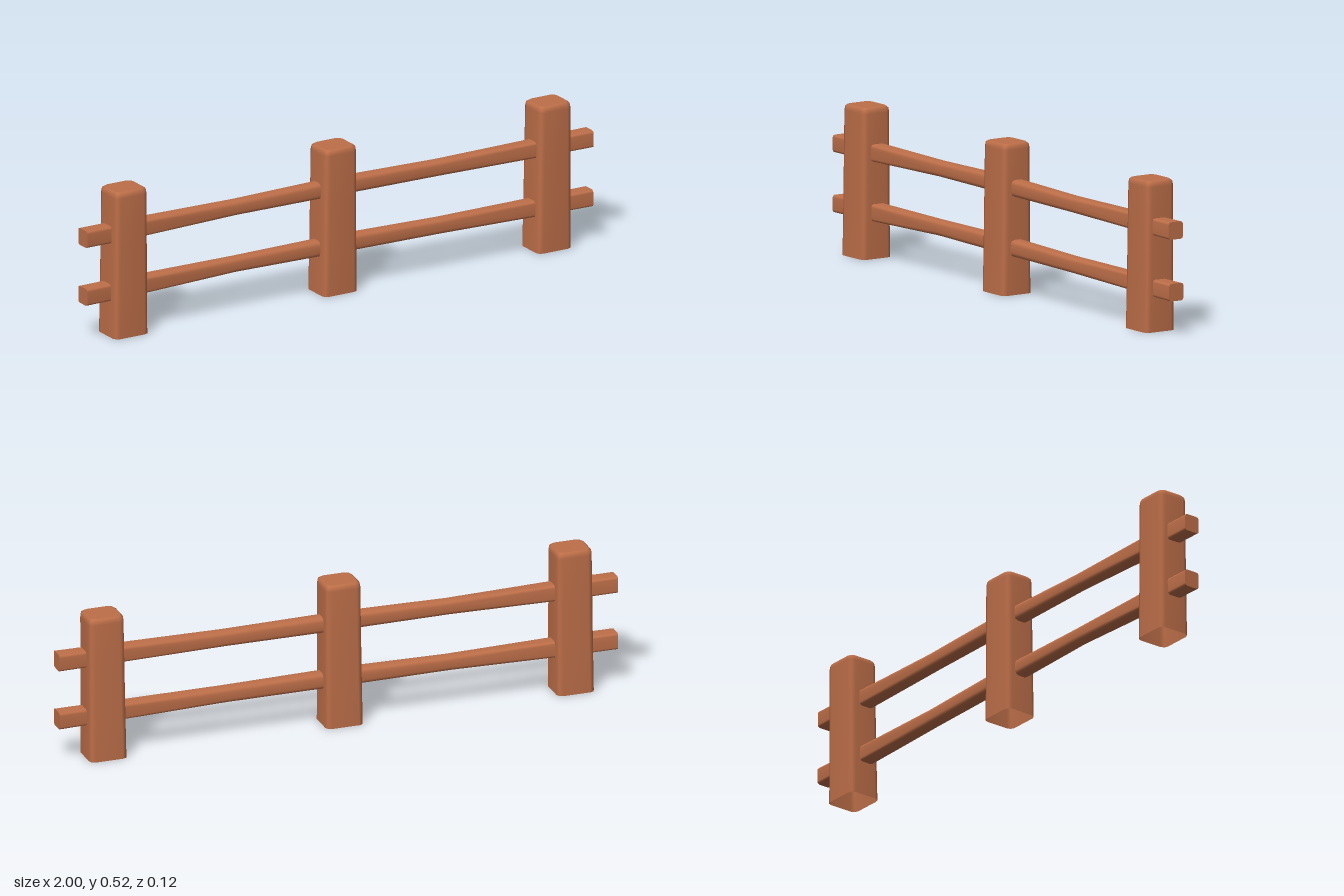
import * as THREE from 'three';

// Rounded-rectangle outline, counter-clockwise in (u, v)
function outline(hu, hv, r, steps = 2) {
  const pts = [];
  [[1, 1], [-1, 1], [-1, -1], [1, -1]].forEach(([su, sv], q) => {
    for (let i = 0; i <= steps; i++) {
      const a = (q + i / steps) * Math.PI / 2;
      pts.push([su * (hu - r) + r * Math.cos(a), sv * (hv - r) + r * Math.sin(a)]);
    }
  });
  return pts;
}

// Skin cross-sections { at, u, v, hu, hv, r }; place maps (at, u, v) to x, y, z
function loft(sections, place, capStart, capEnd) {
  const pos = [], index = [];
  const rings = sections.map(s => outline(s.hu, s.hv, s.r).map(([u, v]) => place(s.at, s.u + u, s.v + v)));
  const n = rings[0].length;
  rings.forEach(ring => ring.forEach(p => pos.push(...p)));
  for (let i = 0; i < rings.length - 1; i++) {
    for (let k = 0; k < n; k++) {
      const a = i * n + k, b = i * n + (k + 1) % n;
      index.push(a, b, b + n, a, b + n, a + n);
    }
  }
  // Caps have their own vertices so their rims stay crisp
  const cap = (i, flip) => {
    const s = sections[i], c = pos.length / 3;
    pos.push(...place(s.at, s.u, s.v));
    rings[i].forEach(p => pos.push(...p));
    for (let k = 0; k < n; k++) {
      const a = c + 1 + k, b = c + 1 + (k + 1) % n;
      index.push(c, flip ? b : a, flip ? a : b);
    }
  };
  if (capStart) cap(0, true);
  if (capEnd) cap(rings.length - 1, false);
  const geo = new THREE.BufferGeometry();
  geo.setAttribute('position', new THREE.Float32BufferAttribute(pos, 3));
  geo.setIndex(index);
  geo.computeVertexNormals();
  return geo;
}

export function createModel() {
  const fence = new THREE.Group();
  fence.name = 'fence';
  const wood = new THREE.MeshStandardMaterial({ color: 0xbe6f49, side: THREE.DoubleSide });
  wood.name = 'wood';

  const add = (name, geo) => {
    const mesh = new THREE.Mesh(geo, wood);
    mesh.name = name;
    fence.add(mesh);
  };

  // Posts: slightly tapered, softened top, open underneath
  const alongY = (at, u, v) => [v, at, u];
  const posts = [
    ['rightPost', -0.841, -0.838, 0.002],
    ['middlePost', -0.012, -0.008, 0],
    ['leftPost', 0.835, 0.841, -0.001],
  ];
  for (const [name, xBottom, xTop, z] of posts) {
    const section = (at, hu, hv, r) =>
      ({ at, u: z, v: THREE.MathUtils.lerp(xBottom, xTop, at / 0.52), hu, hv, r });
    add(name, loft([
      section(0.002, 0.06, 0.067, 0.018),
      section(0.17, 0.059, 0.066, 0.02),
      section(0.34, 0.058, 0.065, 0.02),
      section(0.5, 0.057, 0.064, 0.02),
      section(0.514, 0.055, 0.062, 0.02),
      section(0.52, 0.048, 0.055, 0.018),
    ], alongY, false, true));
  }

  // Rails: square ends, rounder and a little wavy between the posts
  const alongX = (at, u, v) => [at, u, v];
  const xs = [-1, -0.84, -0.4, 0, 0.4, 0.84, 1];
  const half = [0.03, 0.03, 0.026, 0.029, 0.027, 0.029, 0.03];
  const rails = [
    ['upperRail', [0.365, 0.365, 0.366, 0.368, 0.364, 0.363, 0.363], [0.001, 0.001, -0.002, -0.001, 0.004, 0.006, 0.006]],
    ['lowerRail', [0.159, 0.16, 0.163, 0.163, 0.158, 0.153, 0.152], [0.001, 0, -0.004, 0.001, 0.006, 0.005, 0.004]],
  ];
  for (const [name, ys, zs] of rails) {
    add(name, loft(xs.map((at, i) => ({
      at, u: ys[i], v: zs[i], hu: half[i], hv: half[i] - 0.001,
      r: Math.abs(at) > 0.8 ? 0.009 : 0.015,
    })), alongX, true, true));
  }

  return fence;
}
